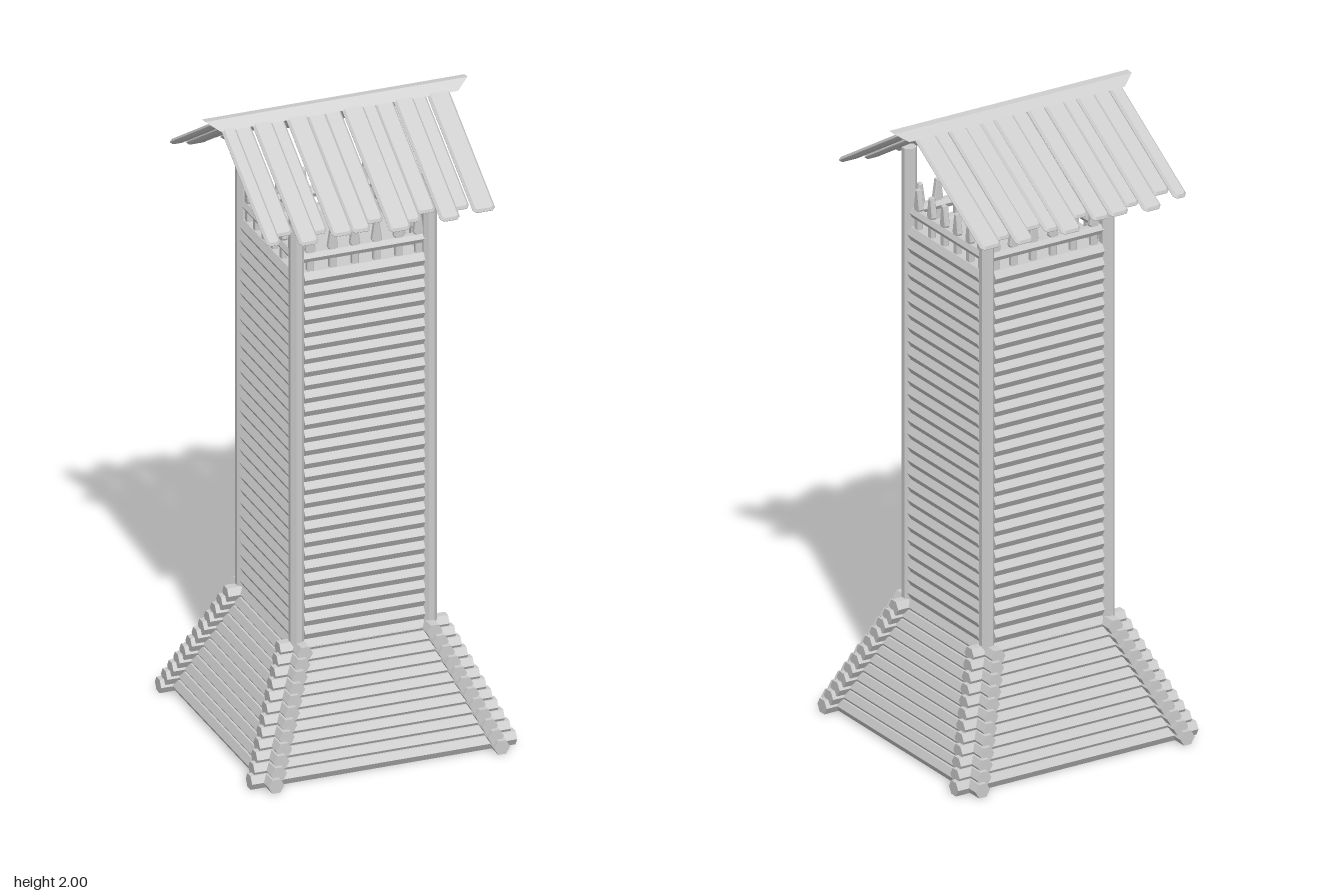
import * as THREE from 'three';

const mat = new THREE.MeshStandardMaterial({ color: 0xcccccc, flatShading: true });

function add(parent, geo, name, x = 0, y = 0, z = 0) {
  const m = new THREE.Mesh(geo, mat);
  m.name = name;
  m.position.set(x, y, z);
  parent.add(m);
  return m;
}

function group(parent, name) {
  const g = new THREE.Group();
  g.name = name;
  parent.add(g);
  return g;
}

// Hexagonal log lying along x, with an edge facing outward
function logGeo(length, r) {
  return new THREE.CylinderGeometry(r, r, length, 6).rotateZ(Math.PI / 2);
}

// Chamfered flat board: outline in xy, thickness centred on z
function boardGeo(points, depth, bevel) {
  const shape = new THREE.Shape(points.map(([x, y]) => new THREE.Vector2(x, y)));
  const geo = new THREE.ExtrudeGeometry(shape, {
    depth, bevelEnabled: true, bevelSegments: 1,
    bevelSize: bevel, bevelThickness: bevel, bevelOffset: -bevel,
  });
  return geo.translate(0, 0, -depth / 2);
}

export function createModel() {
  const tower = new THREE.Group();
  tower.name = 'watchtower';

  // Corner posts
  for (const x of [-0.21, 0.21]) for (const z of [-0.21, 0.21]) {
    const geo = new THREE.CylinderGeometry(0.023, 0.023, 1.82, 8).rotateY(Math.PI / 8);
    add(tower, geo, 'cornerPost', x, 0.91, z);
  }

  // Four sides: sloping log base, log wall and picket railing
  const wallLog = logGeo(0.38, 0.0245);
  const picket = boardGeo([[-0.011, 0], [0.011, 0], [0.011, 0.06], [0.016, 0.07],
    [0.007, 0.13], [-0.007, 0.13], [-0.016, 0.07], [-0.011, 0.06]], 0.012, 0.003);
  const pickets = [-0.165, -0.094, -0.024, 0.045, 0.114, 0.177];
  const pitch = 0.0425, baseLogs = 12;

  for (let side = 0; side < 4; side++) {
    const s = group(tower, ['frontSide', 'leftSide', 'backSide', 'rightSide'][side]);
    s.rotation.y = side * Math.PI / 2;

    for (let i = 0; i < baseLogs; i++) {
      const t = i / (baseLogs - 1);
      const c = 0.357 - 0.152 * t;
      add(s, logGeo(2 * (c + 0.062), 0.025), 'baseLog', 0, 0.022 + 0.336 * t, c);
    }
    for (let i = 0; i < 29; i++) {
      add(s, wallLog, 'wallLog', 0, 1.55 - i * pitch, 0.205);
    }
    add(s, logGeo(0.39, 0.017), 'railing', 0, 1.616, 0.205);
    // Opposite sides line up with one another
    const flip = side < 2 ? 1 : -1;
    for (const x of pickets) add(s, picket, 'picket', x * flip, 1.567, 0.205);
  }

  // Lookout floor
  add(tower, new THREE.BoxGeometry(0.38, 0.02, 0.38), 'lookoutFloor', 0, 1.55, 0);

  // Roof boards: [left edge, right edge, reach from ridge, upper layer]
  const boards = [
    [-0.365, -0.32, 0.38, 1], [-0.328, -0.268, 0.35, 0], [-0.267, -0.205, 0.395, 1],
    [-0.215, -0.163, 0.362, 0], [-0.16, -0.094, 0.385, 1], [-0.096, -0.036, 0.382, 0.7],
    [-0.04, 0.016, 0.357, 0], [0.016, 0.084, 0.4, 1], [0.076, 0.126, 0.377, 0.3],
    [0.122, 0.182, 0.355, 0], [0.179, 0.241, 0.395, 1], [0.234, 0.286, 0.362, 0],
    [0.286, 0.356, 0.386, 1],
  ];
  const slope = 0.546;
  const roof = group(tower, 'roof');
  roof.position.set(0, 1.972, -0.02);
  for (const dir of [1, -1]) {
    const half = group(roof, dir > 0 ? 'frontRoofSlope' : 'backRoofSlope');
    for (const [x0, x1, reach, layer] of boards) {
      const w = (x1 - x0) / 2, len = reach / Math.cos(slope), c = 0.01;
      const geo = boardGeo([[-w, 0], [w, 0], [w, len - c], [w - c, len],
        [c - w, len], [-w, len - c]], 0.002, 0.007);
      // Lay the board down the slope
      geo.rotateX(dir * (Math.PI / 2 + slope));
      const lift = layer * 0.012;
      add(half, geo, 'roofBoard', (x0 + x1) / 2,
        lift * Math.cos(slope), dir * lift * Math.sin(slope));
    }
  }

  // Ridge cap, wider at the top than at the bottom
  const section = [[-0.058, 1.972], [-0.034, 1.998], [-0.01, 2], [0.015, 1.972], [-0.022, 1.965]];
  const cap = new THREE.ExtrudeGeometry(
    new THREE.Shape(section.map(([z, y]) => new THREE.Vector2(-z, y))), { depth: 1, bevelEnabled: false });
  cap.translate(0, 0, -0.5).rotateY(Math.PI / 2);
  const p = cap.attributes.position;
  for (let i = 0; i < p.count; i++) {
    const end = p.getY(i) > 1.98 ? 0.415 : 0.375;
    p.setX(i, Math.sign(p.getX(i)) * end + 0.005);
  }
  cap.computeVertexNormals();
  add(tower, cap, 'ridgeCap');

  return tower;
}
